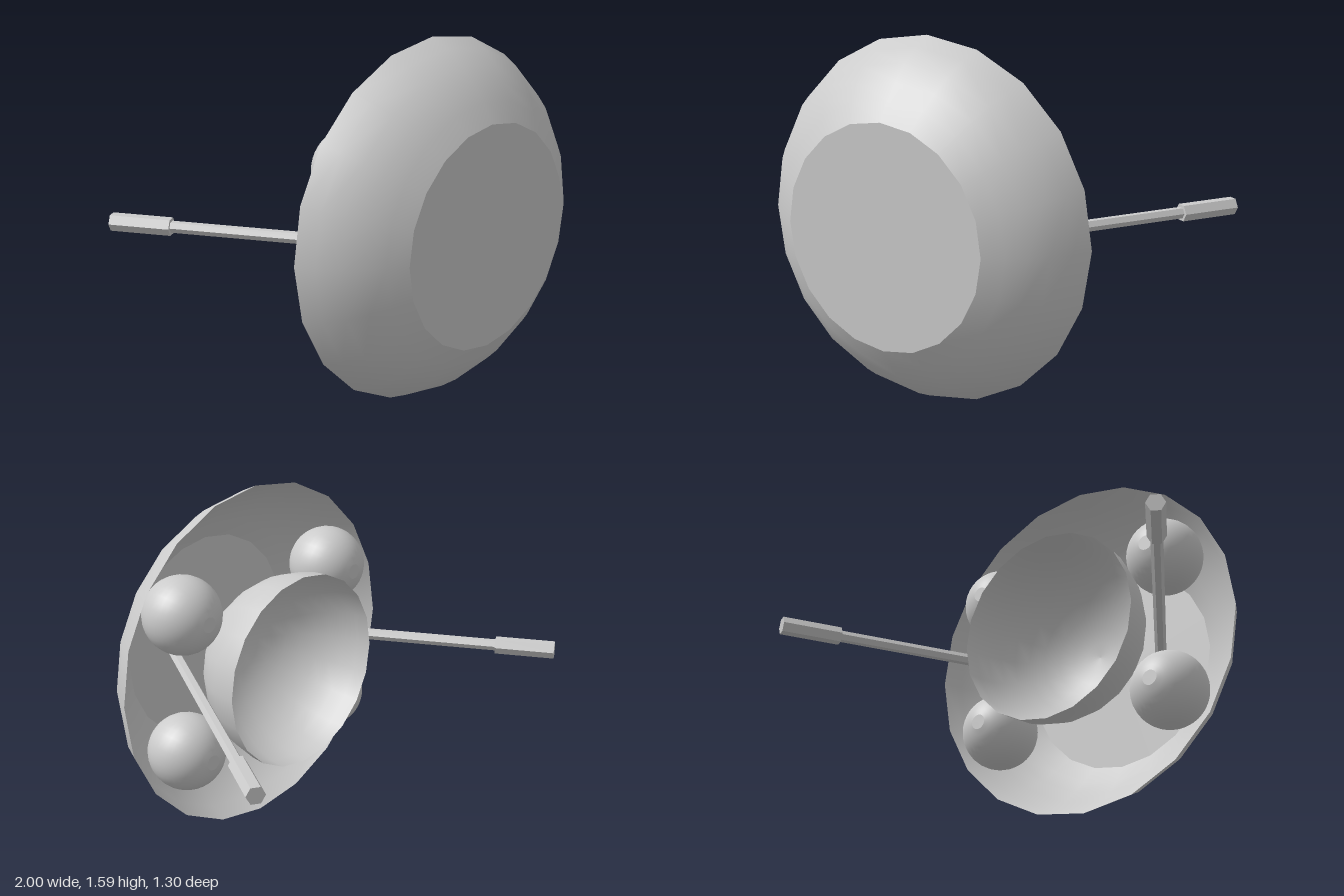
import * as THREE from 'three';

const CENTRE_Y = 0.797;

// Surface of revolution about the z axis; profile is [radius, z] from back to front
function turned(name, profile, sides, material) {
  const points = profile.map(([r, z]) => new THREE.Vector2(r, z));
  const geometry = new THREE.LatheGeometry(points, sides).rotateX(Math.PI / 2);
  const mesh = new THREE.Mesh(geometry, material);
  mesh.name = name;
  return mesh;
}

// Arc of a sphere profile between two polar angles measured from -z
function arc(radius, from, to, steps, zc = 0) {
  return Array.from({ length: steps + 1 }, (_, i) => {
    const a = from + (to - from) * i / steps;
    return [radius * Math.sin(a), zc - radius * Math.cos(a)];
  });
}

export function createModel() {
  const model = new THREE.Group();
  const body = new THREE.Group();
  body.name = 'body';
  body.position.y = CENTRE_Y;
  model.add(body);

  const shell = new THREE.MeshStandardMaterial({ color: 0xcccccc, side: THREE.DoubleSide });
  const faceted = new THREE.MeshStandardMaterial({ color: 0xcccccc, flatShading: true });

  // Shallow open dish with a flat front
  body.add(turned('dish', [
    [0.795, 0.32], [0.757, 0.4], [0.7, 0.48], [0.635, 0.545], [0.565, 0.6], [0.485, 0.65],
  ], 20, shell));
  const front = new THREE.Mesh(new THREE.CircleGeometry(0.485, 20), shell);
  front.name = 'dishFront';
  front.position.z = 0.65;
  body.add(front);

  // Round cup, open to the back
  body.add(turned('cup', arc(0.443, Math.PI / 2, Math.PI, 10, 0.035), 20, shell));

  // Four balls with a small flat at the back
  for (const sx of [-1, 1]) {
    for (const sy of [-1, 1]) {
      const ball = new THREE.Group();
      ball.name = 'ball';
      ball.position.set(sx * 0.455, sy * 0.323, 0.317);
      ball.add(turned('ballSurface', arc(0.174, 0.2, Math.PI, 18), 32, shell));
      const flat = new THREE.Mesh(new THREE.CircleGeometry(0.174 * Math.sin(0.2), 32), shell);
      flat.name = 'ballFlat';
      flat.rotation.y = Math.PI;
      flat.position.z = -0.174 * Math.cos(0.2);
      ball.add(flat);
      body.add(ball);
    }
  }

  // Six-sided bar along local z, flat on top and bottom
  const bar = (name, radius, from, to) => {
    const geometry = new THREE.CylinderGeometry(radius, radius, to - from, 6)
      .rotateY(Math.PI / 6).rotateX(Math.PI / 2).translate(0, 0, (from + to) / 2);
    const mesh = new THREE.Mesh(geometry, faceted);
    mesh.name = name;
    return mesh;
  };

  // Splayed handles, mirrored left and right, each with a thicker grip
  for (const side of [-1, 1]) {
    const handle = new THREE.Group();
    handle.name = side > 0 ? 'leftHandle' : 'rightHandle';
    handle.position.set(side * 0.965, 0, -0.632);
    handle.rotation.y = -side * Math.PI / 6;
    handle.add(bar('grip', 0.04, 0, 0.27), bar('rod', 0.026, 0.26, 1.44));
    body.add(handle);
  }

  return model;
}
